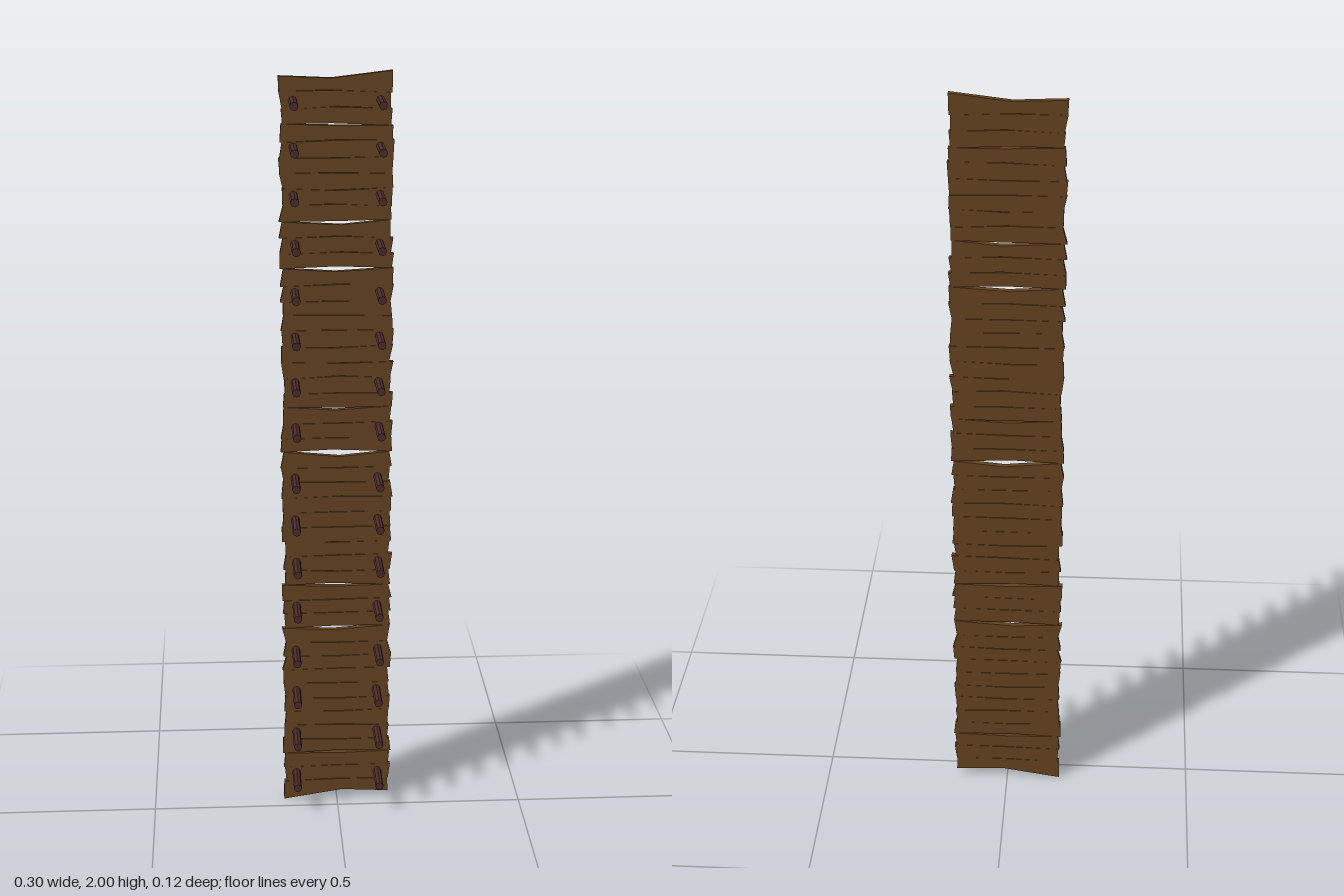
import * as THREE from 'three';

export function createModel() {
  const model = new THREE.Group();
  const wood = new THREE.MeshStandardMaterial({ color: 0x654321, flatShading: true });
  const darkWood = new THREE.MeshStandardMaterial({ color: 0x4a2c2a, flatShading: true });

  // small seeded generator, returns -1..1
  let seed = 7;
  const jitter = (amount) => {
    seed = (seed * 16807) % 2147483647;
    return ((seed / 2147483647) * 2 - 1) * amount;
  };

  // seams between planks: heights at left edge, middle and right edge
  const count = 48;
  const seams = [];
  for (let i = 0; i <= count; i++) {
    const y = 0.015 + (1.975 * i) / count;
    seams.push([y + jitter(0.004), y + jitter(0.004), y + jitter(0.004)]);
  }
  seams[0] = [0, 0.025, 0.018];
  seams[count] = [1.988, 1.982, 2];

  // wider openings at the middle of a few seams
  const openings = { 3: 0.004, 12: 0.006, 15: 0.005, 24: 0.01, 27: 0.003, 36: 0.007, 39: 0.005, 45: 0.003 };

  // planks: rough six-sided boards, bent at the middle
  const deck = new THREE.Group();
  deck.name = 'deck';
  for (let i = 0; i < count; i++) {
    const low = seams[i];
    const high = seams[i + 1];
    const gapLow = i === 0 ? 0 : (openings[i] ?? 0.0008);
    const gapHigh = i === count - 1 ? 0 : (openings[i + 1] ?? 0.0008);
    const edge = () => 0.142 + jitter(0.006);
    const mid = jitter(0.015);
    const shape = new THREE.Shape([
      [-edge(), low[0]],
      [mid, low[1] + gapLow],
      [edge(), low[2]],
      [edge(), high[2]],
      [mid, high[1] - gapHigh],
      [-edge(), high[0]],
    ].map(([x, y]) => new THREE.Vector2(x, y)));
    const geometry = new THREE.ExtrudeGeometry(shape, { depth: 0.015, bevelEnabled: false });
    const plank = new THREE.Mesh(geometry, wood);
    plank.name = 'plank';
    plank.position.z = -0.058 + Math.abs(jitter(0.001));
    deck.add(plank);
  }
  model.add(deck);

  // posts: two rows standing out from the deck
  const postHeights = [0.08, 0.203, 0.326, 0.445, 0.573, 0.698, 0.818, 0.935,
    1.074, 1.196, 1.318, 1.436, 1.562, 1.688, 1.81, 1.927];
  const postGeometry = new THREE.CylinderGeometry(0.011, 0.011, 0.108, 8).rotateX(Math.PI / 2);
  const posts = new THREE.Group();
  posts.name = 'posts';
  for (const y of postHeights) {
    for (const side of [-1, 1]) {
      const post = new THREE.Mesh(postGeometry, darkWood);
      post.name = side > 0 ? 'leftPost' : 'rightPost';
      post.position.set(side * 0.109 + jitter(0.002), y, 0.004);
      posts.add(post);
    }
  }
  model.add(posts);

  return model;
}
